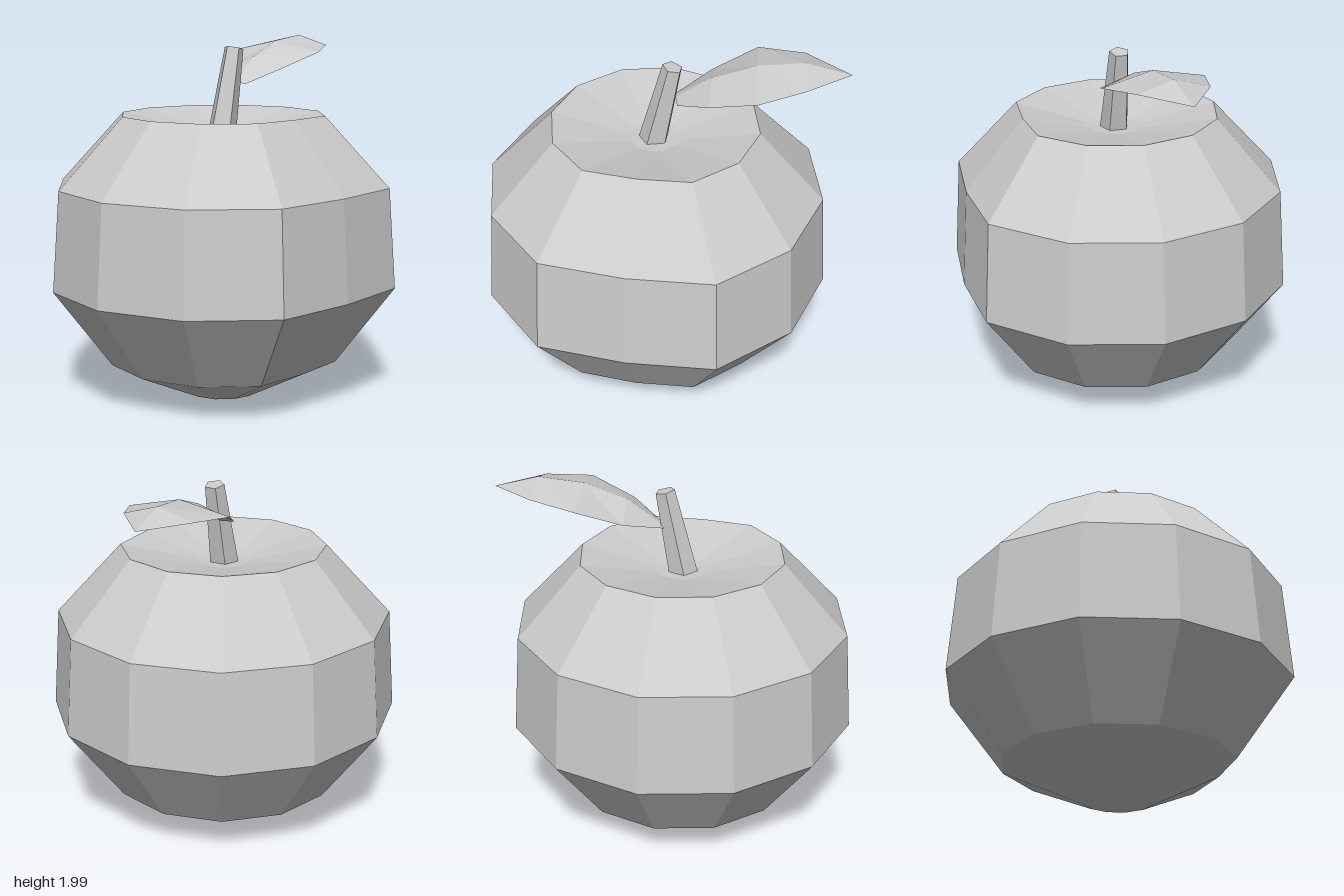
import * as THREE from 'three';

const CENTER_X = -0.03, CENTER_Z = 0.045;

function makeMaterial(side = THREE.FrontSide) {
  return new THREE.MeshStandardMaterial({ color: 0xcccccc, flatShading: true, side });
}

// Faceted fruit: twelve-sided lathe with a sunken top and a slightly flattened front corner
function makeBody() {
  const profile = [
    [0, 0], [0.2, 0], [0.645, 0.2], [0.97, 0.635], [0.93, 1.19], [0.57, 1.58], [0.14, 1.49], [0, 1.485],
  ].map(([r, y]) => new THREE.Vector2(r, y));
  const smooth = new THREE.LatheGeometry(profile, 12);
  const pos = smooth.attributes.position;
  for (let i = 0; i < pos.count; i++) {
    if (Math.abs(pos.getX(i)) < 0.01 && pos.getZ(i) > 0.3) pos.setZ(i, pos.getZ(i) * 0.905);
  }
  const geometry = smooth.toNonIndexed();
  geometry.computeVertexNormals();
  const body = new THREE.Mesh(geometry, makeMaterial());
  body.name = 'fruitBody';
  body.position.set(CENTER_X, 0, CENTER_Z);
  return body;
}

// Tapered five-sided stem leaning to the left
function makeStem() {
  const geometry = new THREE.CylinderGeometry(0.055, 0.082, 0.48, 5, 1, false, -Math.PI / 2);
  const stem = new THREE.Mesh(geometry, makeMaterial());
  stem.name = 'stem';
  stem.position.set(0.014, 1.705, CENTER_Z);
  stem.rotation.z = -0.214;
  return stem;
}

// Folded, arched leaf: each cross-section is back edge, midrib, front edge
function makeLeaf() {
  const tip = [0.99, 1.925, -0.07];
  const sections = [
    [[0.06, 1.74, 0.0], [0.08, 1.755, 0.04], [0.1, 1.74, 0.1]],
    [[0.24, 1.81, -0.18], [0.27, 1.885, 0.02], [0.28, 1.82, 0.21]],
    [[0.47, 1.905, -0.295], [0.5, 1.965, -0.01], [0.54, 1.905, 0.27]],
    [[0.73, 1.93, -0.24], [0.75, 1.99, -0.04], [0.77, 1.935, 0.15]],
  ];
  const points = [];
  const addTriangle = (...corners) => corners.forEach((c) => points.push(...c));
  sections.forEach((a, i) => {
    const b = sections[i + 1];
    for (let j = 0; j < 2; j++) {
      if (b) {
        addTriangle(a[j], a[j + 1], b[j + 1]);
        addTriangle(a[j], b[j + 1], b[j]);
      } else {
        addTriangle(a[j], a[j + 1], tip);
      }
    }
  });
  const geometry = new THREE.BufferGeometry();
  geometry.setAttribute('position', new THREE.Float32BufferAttribute(points, 3));
  geometry.computeVertexNormals();
  const leaf = new THREE.Mesh(geometry, makeMaterial(THREE.DoubleSide));
  leaf.name = 'leaf';
  return leaf;
}

export function createModel() {
  const model = new THREE.Group();
  model.name = 'apple';
  model.add(makeBody(), makeStem(), makeLeaf());
  return model;
}
